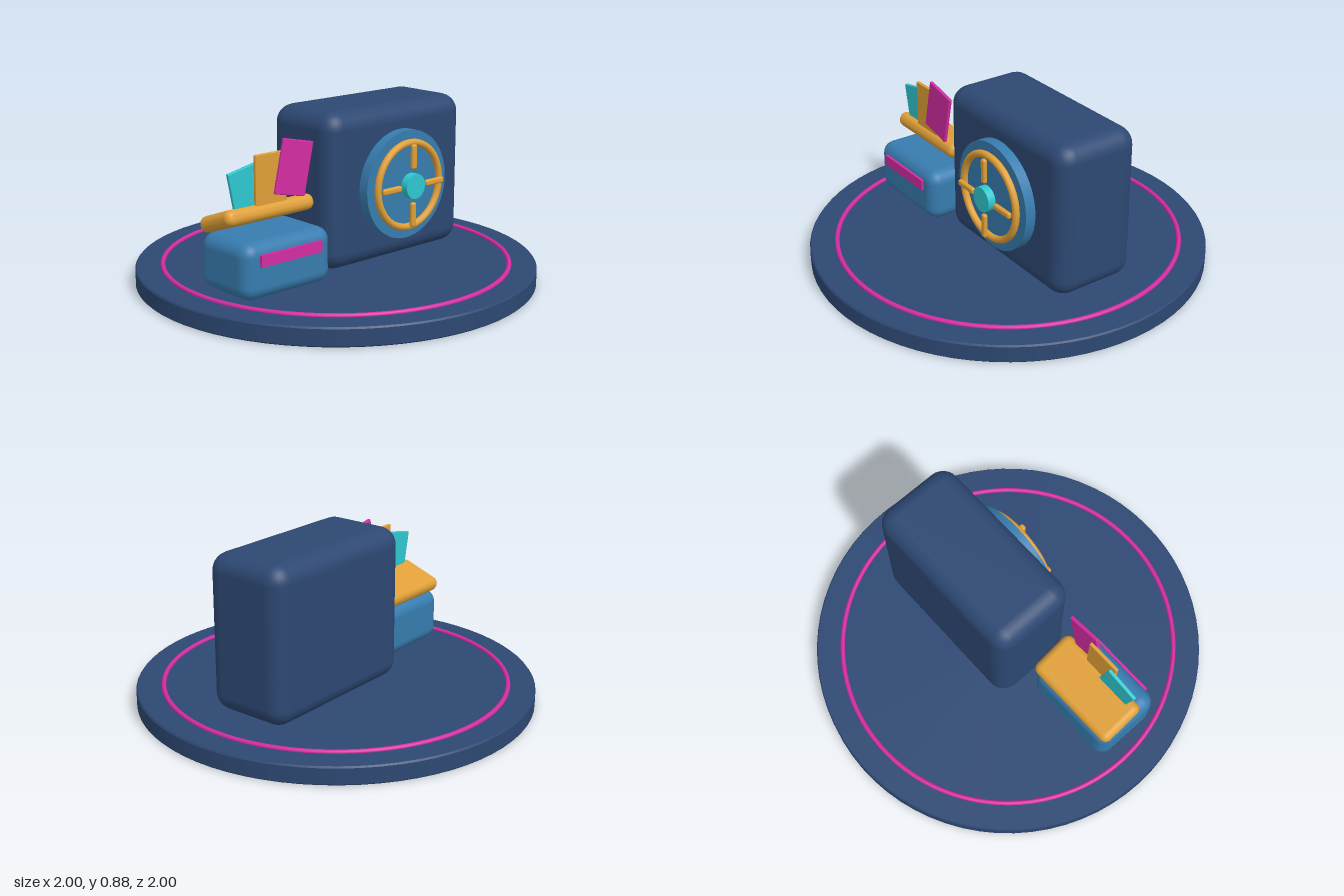
import * as THREE from 'three';
import { RoundedBoxGeometry } from 'three/addons/geometries/RoundedBoxGeometry.js';

function makeMaterial(name, color) {
  const m = new THREE.MeshStandardMaterial({ color });
  m.name = name;
  return m;
}

export function createModel() {
  const navy = makeMaterial('navy', 0x2d4873);
  const blue = makeMaterial('blue', 0x377caf);
  const gold = makeMaterial('gold', 0xe0a038);
  const magenta = makeMaterial('magenta', 0xd42ca2);
  const cyan = makeMaterial('cyan', 0x2ec8d0);

  const model = new THREE.Group();
  model.name = 'vaultScene';

  function add(parent, name, geometry, material, x, y, z) {
    const mesh = new THREE.Mesh(geometry, material);
    mesh.name = name;
    mesh.position.set(x, y, z);
    parent.add(mesh);
    return mesh;
  }
  const rounded = (w, h, d, r) => new RoundedBoxGeometry(w, h, d, 4, r);

  // Round base with a small bevel and an inlaid ring
  const rim = [[0, 0], [0.994, 0], [0.994, 0], [1, 0.006], [1, 0.006], [1, 0.084], [1, 0.084], [0.994, 0.092], [0.994, 0.092], [0, 0.092]];
  add(model, 'base', new THREE.LatheGeometry(rim.map(([x, y]) => new THREE.Vector2(x, y)), 72), navy, 0, 0, 0);
  add(model, 'baseRing', new THREE.TorusGeometry(0.864, 0.012, 10, 96), magenta, 0, 0.095, 0).rotation.x = Math.PI / 2;

  // Safe body
  add(model, 'safeBody', rounded(0.92, 0.78, 0.45, 0.09), navy, 0.235, 0.485, -0.015);

  // Dial: plate, wheel rim, four spokes and hub
  const dial = new THREE.Group();
  dial.name = 'dial';
  dial.position.set(0.235, 0.48, 0);
  model.add(dial);
  add(dial, 'dialPlate', new THREE.CylinderGeometry(0.272, 0.272, 0.07, 64), blue, 0, 0, 0.228).rotation.x = Math.PI / 2;
  add(dial, 'wheelRim', new THREE.TorusGeometry(0.212, 0.018, 12, 64), gold, 0, 0, 0.276);
  for (let i = 0; i < 4; i++) {
    const a = i * Math.PI / 2;
    const spoke = add(dial, 'spoke', rounded(0.125, 0.032, 0.024, 0.011), gold, Math.cos(a) * 0.146, Math.sin(a) * 0.146, 0.306);
    spoke.rotation.z = a;
  }
  add(dial, 'hub', new THREE.CylinderGeometry(0.063, 0.063, 0.04, 40), cyan, 0, 0, 0.305).rotation.x = Math.PI / 2;

  // Small chest with a tilted lid
  const chest = new THREE.Group();
  chest.name = 'chest';
  model.add(chest);
  add(chest, 'chestBody', rounded(0.52, 0.272, 0.36, 0.065), blue, -0.53, 0.23, 0.1);
  add(chest, 'chestLid', rounded(0.52, 0.078, 0.25, 0.036), gold, -0.53, 0.43, 0.04).rotation.x = -0.35;
  add(chest, 'frontLabel', new THREE.BoxGeometry(0.36, 0.056, 0.02), magenta, -0.53, 0.287, 0.282);

  // Fanned cards: material, x, y, z, tilt, height
  const cards = [
    [cyan, -0.647, 0.559, 0.115, 0.2, 0.25],
    [gold, -0.525, 0.605, 0.131, 0, 0.256],
    [magenta, -0.398, 0.645, 0.147, -0.22, 0.262],
  ];
  for (const [material, x, y, z, tilt, height] of cards) {
    add(chest, 'card', rounded(0.182, height, 0.018, 0.005), material, x, y, z).rotation.z = tilt;
  }

  return model;
}
